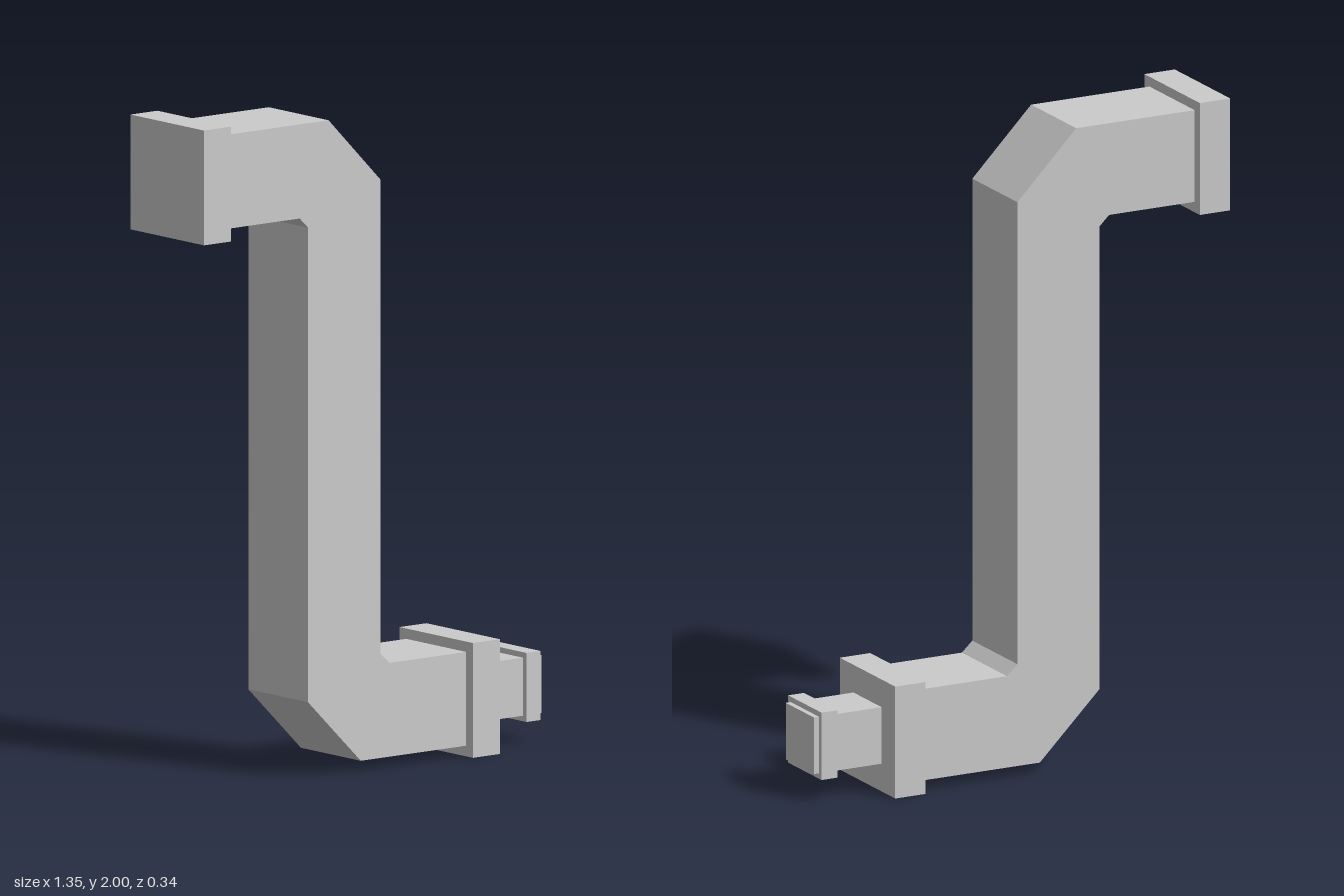
import * as THREE from 'three';

const material = new THREE.MeshStandardMaterial({ color: 0xcccccc, flatShading: true });

// Square block spanning x0..x1, centred on height y
function block(name, x0, x1, y, size) {
  const mesh = new THREE.Mesh(new THREE.BoxGeometry(x1 - x0, size, size), material);
  mesh.name = name;
  mesh.position.set((x0 + x1) / 2, y, 0);
  return mesh;
}

export function createModel() {
  const group = new THREE.Group();
  group.name = 'ductPipe';

  // Square duct with two chamfered elbows, extruded across z
  const outline = [
    [-0.6, 1.97], [-0.177, 1.97], [0.02, 1.77], [0.02, 0.35], [0.055, 0.318], [0.4, 0.318],
    [0.4, 0.037], [-0.055, 0.037], [-0.255, 0.235], [-0.255, 1.657], [-0.287, 1.688], [-0.6, 1.688],
  ].map(([x, y]) => new THREE.Vector2(x, y));
  const width = 0.28;
  const geometry = new THREE.ExtrudeGeometry(new THREE.Shape(outline), { depth: width, bevelEnabled: false });
  geometry.translate(0, 0, -width / 2);
  const duct = new THREE.Mesh(geometry, material);
  duct.name = 'duct';
  group.add(duct);

  // Flanges at both ends, then the narrow nozzle with its collar
  const upperY = 1.828, lowerY = 0.177;
  group.add(
    block('upperFlange', -0.676, -0.574, upperY, 0.344),
    block('lowerFlange', 0.345, 0.447, lowerY, 0.344),
    block('nozzle', 0.44, 0.674, lowerY, 0.174),
    block('nozzleCollar', 0.604, 0.657, lowerY, 0.207),
  );

  // Rest the lower flange exactly on the ground
  group.children.forEach((part) => { part.position.y -= 0.005; });
  return group;
}
